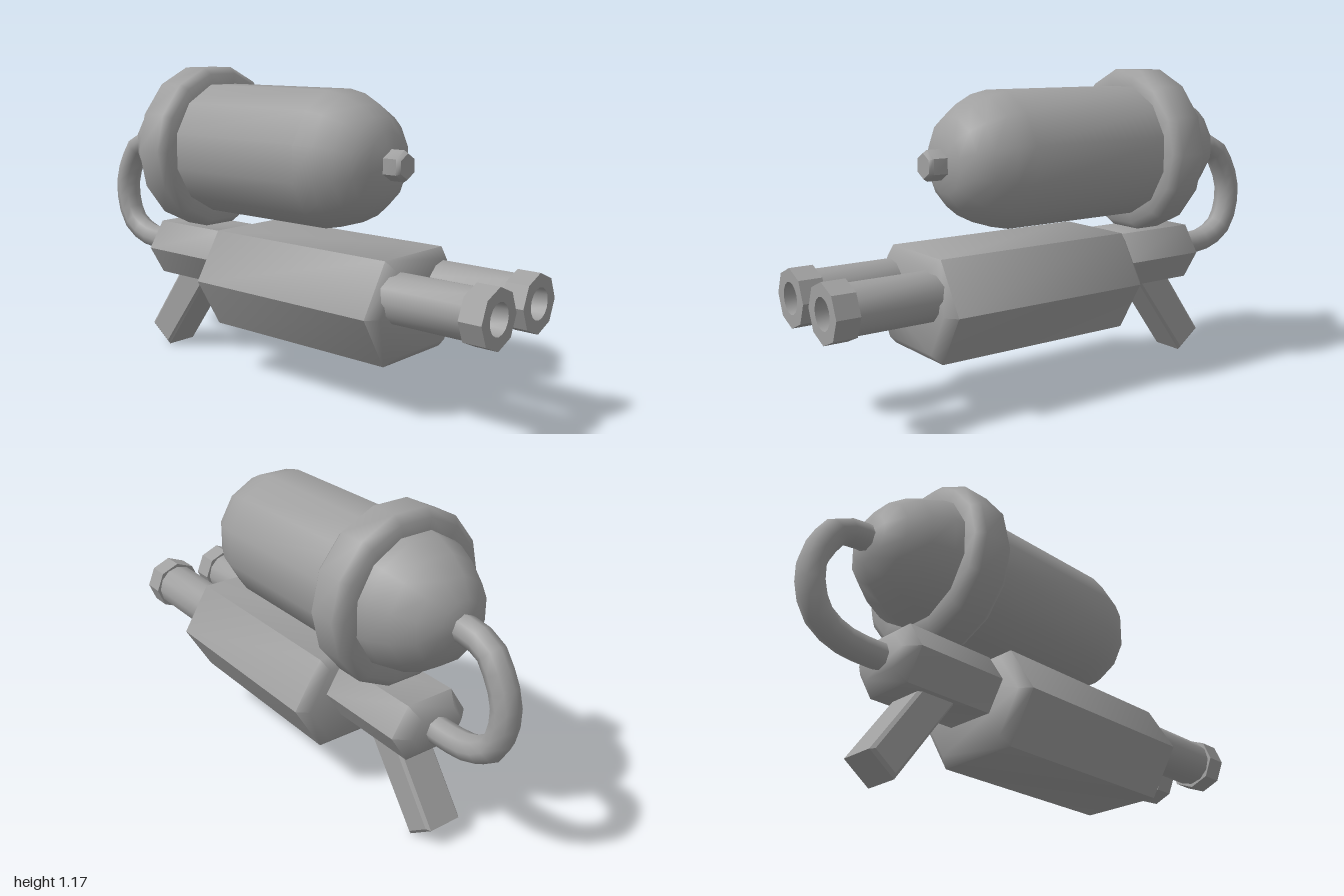
import * as THREE from 'three';
import { toCreasedNormals } from 'three/addons/utils/BufferGeometryUtils.js';

const grey = new THREE.MeshStandardMaterial({ color: 0xa0a0a0 });
grey.name = 'plain grey';

const V2 = (p) => new THREE.Vector2(p[0], p[1]);

export function createModel() {
  const model = new THREE.Group();
  model.name = 'waterBlaster';

  function add(name, geometry, x = 0, y = 0, z = 0, crease = 0.9) {
    const mesh = new THREE.Mesh(toCreasedNormals(geometry, crease), grey);
    mesh.name = name;
    mesh.position.set(x, y, z);
    model.add(mesh);
    return mesh;
  }

  // Turned part along z; profile is [radius, z] from back to front
  function turned(profile, sides, spin = 0) {
    return new THREE.LatheGeometry(profile.map(V2), sides).rotateY(spin).rotateX(Math.PI / 2);
  }

  // Hexagonal housing with bevelled ends, from z0 forward to z1
  function housing(name, top, mid, bottom, halfFlat, halfWide, z0, z1, bevel) {
    const shape = new THREE.Shape([
      [halfFlat, top], [-halfFlat, top], [-halfWide, mid],
      [-halfFlat, bottom], [halfFlat, bottom], [halfWide, mid],
    ].map(V2));
    const geometry = new THREE.ExtrudeGeometry(shape, {
      depth: z1 - z0 - 2 * bevel, bevelThickness: bevel, bevelSize: bevel,
      bevelOffset: -bevel, bevelSegments: 1,
    });
    add(name, geometry, 0, 0, z0 + bevel);
  }

  // Water tank with rounded ends
  add('tank', turned([
    [0, -0.755], [0.09, -0.735], [0.155, -0.69], [0.205, -0.62], [0.24, -0.54], [0.255, -0.46],
    [0.255, 0.25], [0.24, 0.32], [0.205, 0.39], [0.165, 0.44], [0.11, 0.475], [0, 0.495],
  ], 12, Math.PI / 12), 0, 0.864);
  add('tankCap', turned([[0, 0.46], [0.055, 0.46], [0.055, 0.54], [0.045, 0.555], [0, 0.555]], 6), 0, 0.86);

  // Collar that holds the tank on the body
  add('collar', turned([
    [0.23, -0.505], [0.29, -0.505], [0.32, -0.475], [0.32, -0.37],
    [0.295, -0.34], [0.23, -0.34],
  ], 14, Math.PI / 14), 0, 0.863);

  // Main body and narrower rear section
  housing('body', 0.565, 0.385, 0.2, 0.165, 0.275, -0.24, 0.625, 0.035);
  housing('rearBody', 0.545, 0.44, 0.33, 0.097, 0.165, -0.655, -0.2, 0.045);

  // Twin barrels with hollow octagonal muzzles
  for (const [side, x] of [['left', 0.125], ['right', -0.125]]) {
    add(side + 'Barrel', turned([[0, 0.56], [0.09, 0.56], [0.09, 0.93], [0, 0.93]], 12), x, 0.437);
    const ring = new THREE.Shape();
    for (let i = 0; i < 8; i++) {
      const a = (i * Math.PI) / 4;
      ring[i ? 'lineTo' : 'moveTo'](0.104 * Math.cos(a), 0.104 * Math.sin(a));
    }
    ring.holes.push(new THREE.Path().absarc(0, 0, 0.056, 0, Math.PI * 2, true));
    add(side + 'Muzzle', new THREE.ExtrudeGeometry(ring, {
      depth: 0.084, bevelEnabled: false, curveSegments: 8,
    }), x, 0.437, 0.916, 0.6);
  }

  // Slanted grip: side outline in z and y, extruded across x
  const gripShape = new THREE.Shape([
    [0.36, 0.36], [0.617, 0.005], [0.72, 0.08], [0.52, 0.36],
  ].map(V2));
  const grip = new THREE.ExtrudeGeometry(gripShape, {
    depth: 0.13, bevelThickness: 0.01, bevelSize: 0.012, bevelOffset: -0.012, bevelSegments: 1,
  });
  add('grip', grip.translate(0, 0, -0.065).rotateY(Math.PI / 2), 0, 0, 0, 0.5);

  // Hose from the back of the tank to the rear body
  const path = new THREE.CatmullRomCurve3([
    [0.86, -0.7], [0.86, -0.77], [0.835, -0.86], [0.76, -0.915], [0.68, -0.948], [0.59, -0.946],
    [0.505, -0.91], [0.455, -0.83], [0.44, -0.74], [0.44, -0.62],
  ].map(([y, z]) => new THREE.Vector3(0, y, z)));
  add('hose', new THREE.TubeGeometry(path, 14, 0.05, 8), 0, 0, 0, 1.1);

  return model;
}
